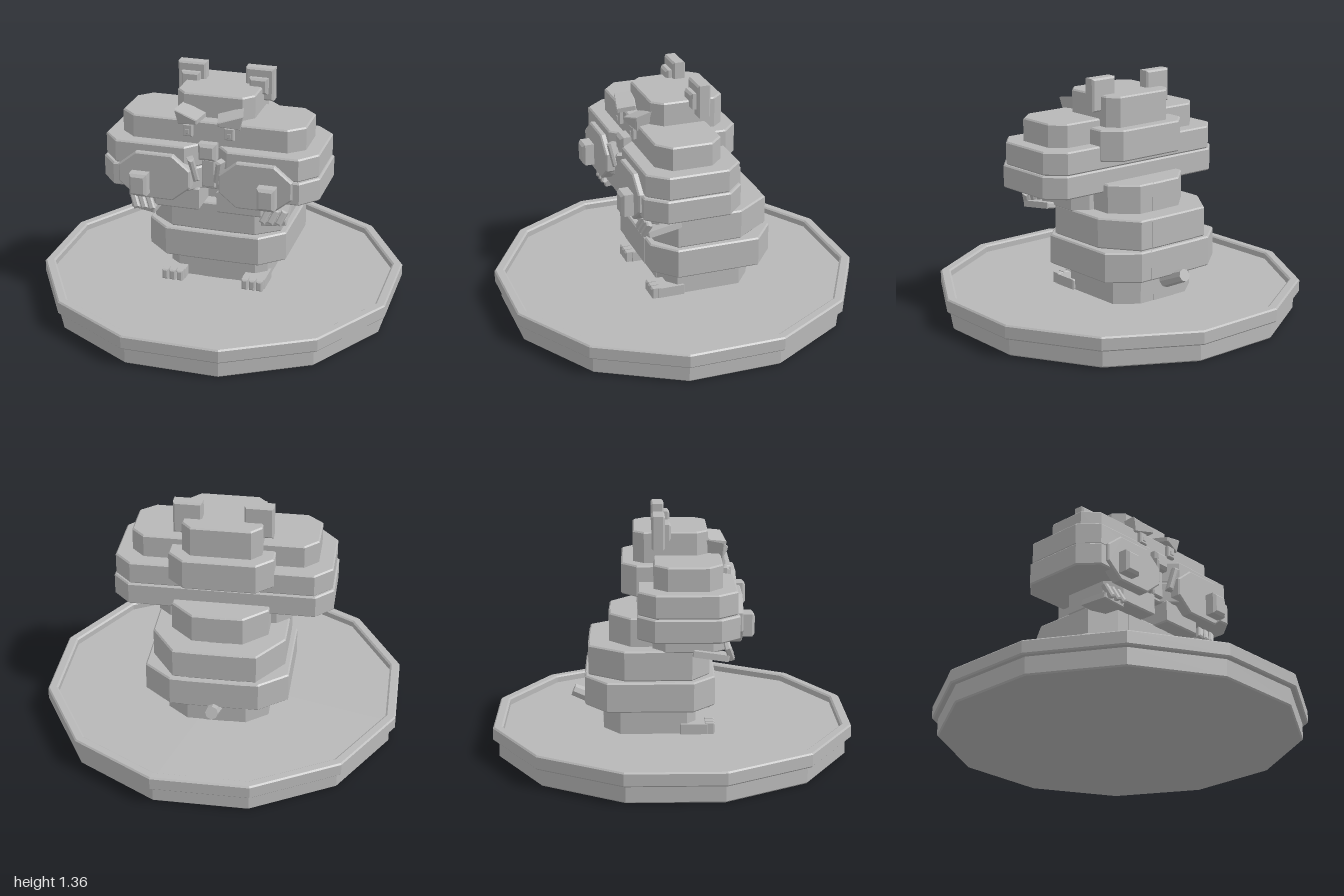
import * as THREE from 'three';

const grey = new THREE.MeshStandardMaterial({ color: 0xb8b8b8 });
grey.name = 'stone grey';

export function createModel() {
  const root = new THREE.Group();
  root.name = 'figurine';

  function add(name, geo, parent = root) {
    const mesh = new THREE.Mesh(geo, grey);
    mesh.name = name;
    parent.add(mesh);
    return mesh;
  }

  // Extruded outline with a small one-step bevel kept inside the outline
  function bevelled(points, depth, b) {
    const shape = new THREE.Shape(points.map(([x, y]) => new THREE.Vector2(x, y)));
    const geo = new THREE.ExtrudeGeometry(shape, {
      depth: depth - 2 * b, bevelEnabled: true, bevelThickness: b, bevelSize: b,
      bevelOffset: -b, bevelSegments: 1, curveSegments: 1,
    });
    return geo.translate(0, 0, b);
  }

  // Horizontal slab from an [x, z] outline between two heights
  function slab(name, outline, y0, y1) {
    const geo = bevelled(outline.map(([x, z]) => [x, -z]), y1 - y0, 0.008);
    return add(name, geo.rotateX(-Math.PI / 2).translate(0, y0, 0));
  }

  // Close a half outline (+x side, back to front) by mirroring it
  const mirrored = (half) => [...half, ...half.map(([x, z]) => [-x, z]).reverse()];

  // Half outline of a block with cut corners; back and front cuts are [x, z]
  const cut = (hx, zb, zf, [bx, bz], [fx, fz]) =>
    [[hx - bx, zb], [hx, zb + bz], [hx, zf - fz], [hx - fx, zf]];

  // Small bevelled box given by centre and size
  function block(name, [x, y, z], [w, h, d], rot = [0, 0, 0], b = 0.006, parent = root) {
    const outline = [[-w / 2, -h / 2], [w / 2, -h / 2], [w / 2, h / 2], [-w / 2, h / 2]];
    const mesh = add(name, bevelled(outline, d, b).translate(0, 0, -d / 2), parent);
    mesh.position.set(x, y, z);
    mesh.rotation.set(...rot);
    return mesh;
  }

  // Twelve-sided plinth with a raised rim
  const k = 1 / Math.cos(Math.PI / 12);
  const profile = [
    [0, 0], [0.96, 0], [0.968, 0.008], [0.968, 0.1], [0.992, 0.1], [1, 0.108],
    [1, 0.172], [0.992, 0.18], [0.953, 0.18], [0.943, 0.172], [0.943, 0.14], [0, 0.14],
  ].map(([r, y]) => new THREE.Vector2(r * k, y));
  const plinth = new THREE.LatheGeometry(profile, 12, Math.PI / 12).toNonIndexed();
  plinth.computeVertexNormals();
  add('plinth', plinth);

  // Stacked body, each layer with a slightly raised middle panel
  const layers = [
    ['hips', 0.285, -0.385, 0.13, [0.12, 0.095], [0.06, 0.05], 0.13, 0.30, 0.073],
    ['belly', 0.4, -0.485, 0.235, [0.155, 0.125], [0.13, 0.12], 0.30, 0.47, 0.178],
    ['chest', 0.37, -0.465, 0.205, [0.14, 0.2], [0.13, 0.1], 0.47, 0.64, 0.155],
    ['neck', 0.27, -0.35, 0.12, [0.13, 0.12], [0.08, 0.08], 0.63, 0.80, 0.05],
  ];
  for (const [name, hx, zb, zf, bc, fc, y0, y1, panel] of layers) {
    slab(name, mirrored(cut(hx, zb, zf, bc, fc)), y0, y1);
    slab(name + 'Panel', mirrored([[panel, zb - 0.003], [panel, zf + 0.003]]), y0, y1);
  }

  // Head layers, notched at the front between the cheeks
  const cheeks = (hx, zb, zf) =>
    mirrored([...cut(hx, zb, zf, [0.095, 0.095], [0.09, 0.105]), [0.12, zf], [0.04, zf - 0.09]]);
  slab('lowerCheeks', cheeks(0.615, -0.195, 0.355), 0.75, 0.88);
  slab('upperCheeks', cheeks(0.605, -0.19, 0.342), 0.88, 1.01);
  slab('temples', mirrored(cut(0.52, -0.105, 0.265, [0.075, 0.075], [0.085, 0.075])), 1.0, 1.14);
  slab('backOfHead', mirrored(cut(0.29, -0.28, 0, [0.09, 0.085], [0.05, 0.05])), 0.925, 1.10);
  slab('crown', mirrored(cut(0.22, -0.215, 0.195, [0.055, 0.06], [0.055, 0.06])), 1.08, 1.27);

  // Nose and chin
  block('nose', [0, 0.982, 0.28], [0.1, 0.095, 0.09], [0, 0, 0], 0.016);
  block('chin', [0, 0.85, 0.26], [0.075, 0.16, 0.06]);

  for (const s of [1, -1]) {
    const side = s > 0 ? 'left' : 'right';

    // Jowl below the cheek
    const jowl = [[0.05, -0.11], [0.3, -0.11], [0.375, -0.04], [0.375, 0.22], [0.3, 0.305], [0.05, 0.305]];
    const outline = jowl.map(([x, z]) => [s * x, z]);
    slab(side + 'Jowl', outline, 0.63, 0.76);

    // Octagonal cheek pad with a stud
    const pad = [[-0.205, -0.05], [-0.105, -0.132], [0.105, -0.132], [0.205, -0.05],
      [0.205, 0.05], [0.105, 0.132], [-0.105, 0.132], [-0.205, 0.05]];
    add(side + 'CheekPad', bevelled(pad, 0.07, 0.008).translate(s * 0.285, 0.833, 0.303));
    block(side + 'CheekStud', [s * 0.36, 0.795, 0.39], [0.1, 0.125, 0.1], [0, 0, 0], 0.015);

    // Ear with inner block
    block(side + 'Ear', [s * 0.195, 1.272, -0.077], [0.16, 0.185, 0.073], [0, 0, 0], 0.01);
    block(side + 'InnerEar', [s * 0.195, 1.27, -0.03], [0.105, 0.09, 0.045], [0, 0, 0], 0.012);

    // Eye and flared brow
    block(side + 'Eye', [s * 0.117, 1.09, 0.265], [0.055, 0.07, 0.05]);
    block(side + 'Pupil', [s * 0.117, 1.083, 0.291], [0.02, 0.025, 0.008], [0, 0, 0], 0.002);
    const brow = [[-0.065, -0.02], [0.055, -0.045], [0.075, 0.04], [-0.065, 0.005]];
    const browMesh = add(side + 'Brow',
      bevelled(s > 0 ? brow : brow.map(([x, y]) => [-x, y]), 0.11, 0.005).translate(0, 0, -0.055));
    browMesh.position.set(s * 0.11, 1.165, 0.245);
    browMesh.rotation.set(0.15, s * 0.25, 0);

    // Whisker fang beside the nose
    block(side + 'Fang', [s * 0.075, 0.885, 0.325], [0.035, 0.14, 0.06], [0.1, s * -0.5, s * -0.2], 0.01);

    // Paw with three fingers tucked under the jowl
    block(side + 'Paw', [s * 0.365, 0.62, 0.21], [0.14, 0.035, 0.2], [0.12, s * 0.1, s * 0.12]);
    for (const i of [-1, 0, 1]) {
      block(side + 'Finger', [s * (0.375 + i * 0.045), 0.645, 0.305], [0.036, 0.085, 0.035],
        [-0.35, 0, s * -0.4], 0.008);
    }

    // Foot with three toes
    block(side + 'Foot', [s * 0.235, 0.168, 0.12], [0.13, 0.06, 0.16]);
    for (const i of [-1, 0, 1]) {
      block(side + 'Toe', [s * 0.235 + i * 0.043, 0.17, 0.205], [0.036, 0.062, 0.06], [0, 0, 0], 0.008);
    }
  }

  // Stubby tail
  const tailGeo = new THREE.CylinderGeometry(0.036, 0.042, 0.17, 8).toNonIndexed();
  tailGeo.computeVertexNormals();
  const tail = add('tail', tailGeo);
  tail.position.set(0, 0.28, -0.48);
  tail.rotation.x = -Math.PI / 2 + 0.4;

  return root;
}
